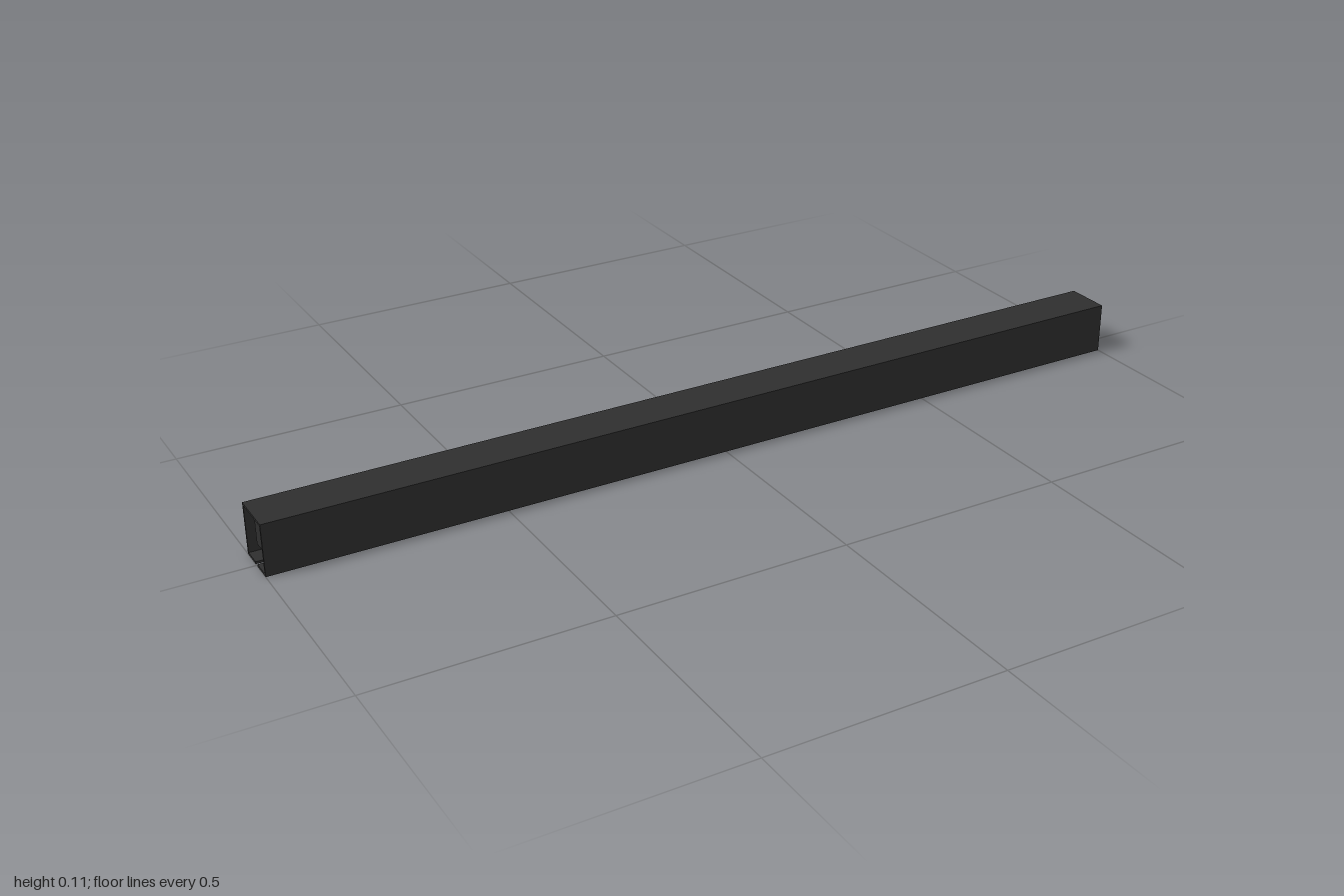
import * as THREE from 'three';

const LENGTH = 2, HALF = 0.05, HEIGHT = 0.112, WALL = 0.005, SLOT = 0.0055;

export function createModel() {
  const group = new THREE.Group();
  const material = new THREE.MeshStandardMaterial({ color: 0x2e2e2e, flatShading: true });

  // Slotted channel: a hollow rectangular section, open along the middle of its base
  const half = [
    [SLOT, 0], [HALF, 0], [HALF, HEIGHT], // outer skin
    [HALF - WALL, HEIGHT - WALL], [HALF - WALL, WALL], [SLOT, WALL], // inner skin
  ];
  const mirror = ([a, b]) => [-a, b];
  const outline = [
    ...half.slice(0, 3), ...half.slice(0, 3).reverse().map(mirror),
    ...half.slice(3).reverse().map(mirror), ...half.slice(3),
  ];
  const section = new THREE.Shape(outline.map(([a, b]) => new THREE.Vector2(a, b)));
  const channelGeometry = new THREE.ExtrudeGeometry(section, { depth: LENGTH, bevelEnabled: false });
  channelGeometry.translate(0, 0, -LENGTH / 2).rotateY(Math.PI / 2);
  const channel = new THREE.Mesh(channelGeometry, material);
  channel.name = 'channel';
  group.add(channel);

  // Core bar hanging from the roof of the channel, set slightly in from both ends
  const bottom = 0.026, top = HEIGHT - WALL;
  const core = new THREE.Mesh(new THREE.BoxGeometry(LENGTH - 0.03, top - bottom, 0.068), material);
  core.position.y = (top + bottom) / 2;
  core.name = 'coreBar';
  group.add(core);

  return group;
}
